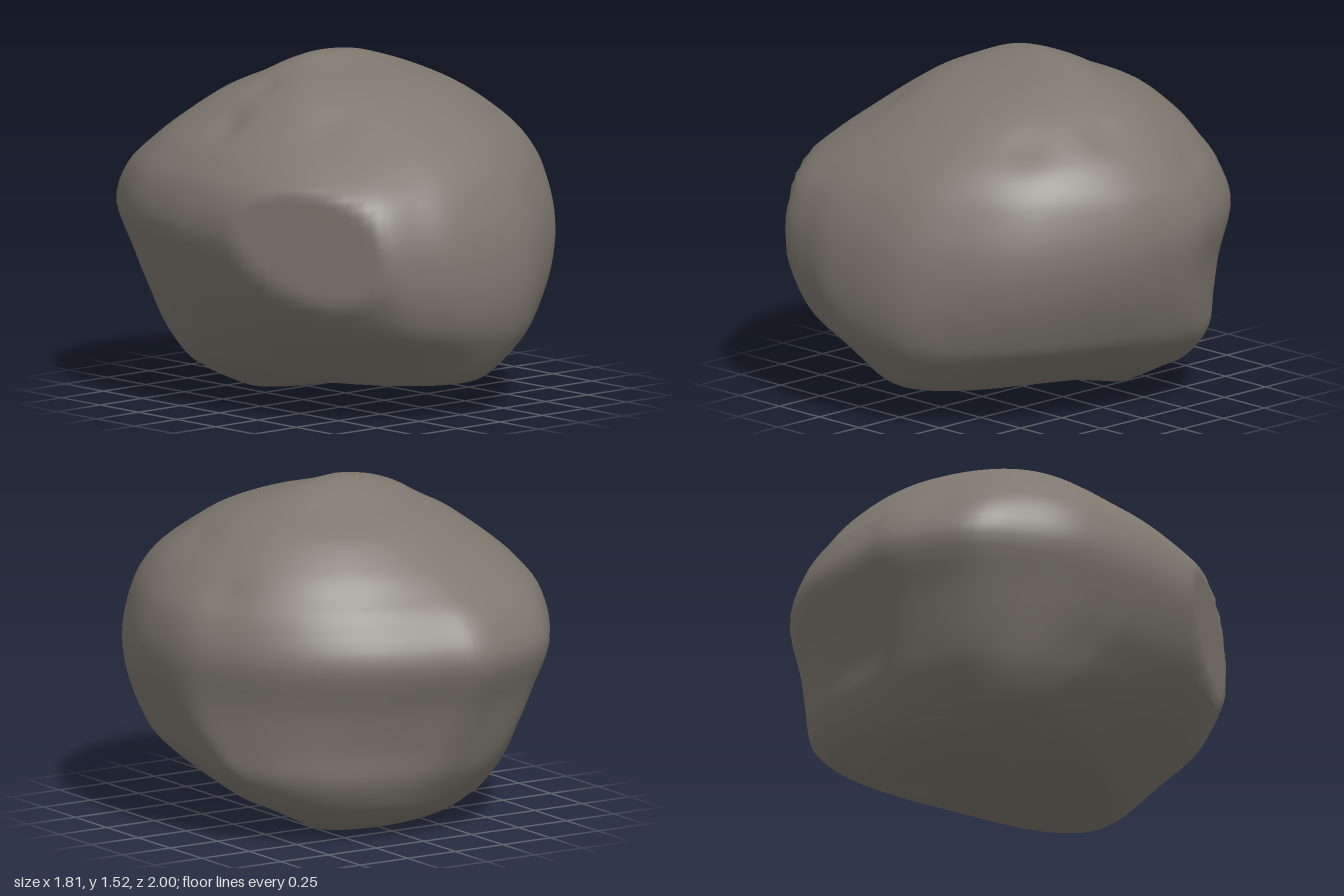
import * as THREE from 'three';

const AROUND = 120, RINGS = 72;
const { lerp, smoothstep } = THREE.MathUtils;

// Plan outline of the widest part (x, z) before chipping, running from +x towards -z
const PLAN = [
  [0.9, 0], [0.89, -0.2], [0.82, -0.37], [0.7, -0.57], [0.53, -0.74], [0.3, -0.87], [0, -0.96],
  [-0.15, -0.995], [-0.3, -0.97], [-0.55, -0.87], [-0.7, -0.68], [-0.82, -0.46], [-0.88, -0.2],
  [-0.9, 0], [-0.9, 0.27], [-0.86, 0.5], [-0.77, 0.71], [-0.6, 0.89], [-0.4, 0.96],
  [-0.18, 1], [0.18, 0.97], [0.45, 0.83], [0.64, 0.67], [0.77, 0.47], [0.87, 0.22],
];

// Extents at each height: y, x min, x max, z min, z max
const LEVELS = [
  [0.0, 0.0, 0.14, -0.37, -0.29], [0.015, -0.22, 0.28, -0.45, -0.2], [0.06, -0.34, 0.38, -0.58, 0.05],
  [0.105, -0.43, 0.47, -0.65, 0.4], [0.125, -0.46, 0.51, -0.67, 0.68], [0.17, -0.53, 0.6, -0.71, 0.8],
  [0.29, -0.63, 0.73, -0.79, 0.9], [0.42, -0.72, 0.8, -0.84, 0.97], [0.6, -0.83, 0.86, -0.91, 1.0],
  [0.82, -0.9, 0.9, -1.0, 0.98], [1.0, -0.87, 0.87, -0.92, 0.91], [1.12, -0.79, 0.8, -0.79, 0.82],
  [1.22, -0.68, 0.71, -0.68, 0.7], [1.34, -0.52, 0.56, -0.53, 0.5], [1.42, -0.39, 0.4, -0.35, 0.3],
  [1.47, -0.27, 0.27, -0.25, 0.11], [1.505, -0.16, 0.14, -0.16, 0.0], [1.517, -0.06, 0.03, -0.11, -0.03],
];

// Weathered dents (negative depth is a swelling): x, y, z, radius, depth
const DENTS = [
  [-0.62, 1.25, -0.08, 0.09, 0.03], [-0.4, 1.4, -0.07, 0.08, 0.02], [0.6, 1.28, 0.1, 0.1, 0.015],
  [0.47, 1.25, 0.45, 0.12, 0.015], [-0.42, 1.28, 0.38, 0.1, 0.015], [0.74, 1.12, -0.3, 0.09, 0.012],
  [-0.55, 1.15, -0.5, 0.28, -0.04], [-0.5, 0.38, -0.55, 0.28, -0.02],
];

// Upright plane that chips a flat face off the front corner: outward x, z and distance
const CHIP = [-0.898, 0.441, 0.915];

// Uniform splines through the extents, so both share the same height
function makeSpline(points, closed) {
  return new THREE.CatmullRomCurve3(points.map((p) => new THREE.Vector3(...p)), closed, 'catmullrom', 0.5);
}

function boulderGeometry() {
  const plan = makeSpline(PLAN.map(([x, z]) => [x, 0, z]), true);
  const xSpan = makeSpline(LEVELS.map(([y, a, b]) => [a, y, b]), false);
  const zSpan = makeSpline(LEVELS.map(([y, , , a, b]) => [a, y, b]), false);
  const outline = Array.from({ length: AROUND }, (_, j) => plan.getPoint(j / AROUND));
  const heart = new THREE.Vector3(0, 0.75, 0);
  const positions = [], index = [];

  for (let i = 0; i <= RINGS; i++) {
    const xs = xSpan.getPoint(i / RINGS), zs = zSpan.getPoint(i / RINGS);
    const y = xs.y;
    // The uneven outline fades to an oval near the top and the base
    const uneven = smoothstep(y, 0.1, 0.45) * (1 - smoothstep(y, 0.95, 1.25));
    // Low rings are widest over the foot at the back and narrow towards the front
    const pivot = lerp(-0.33, (zs.x + zs.z) / 2, smoothstep(y, 0.08, 0.8));
    const low = 1 - smoothstep(y, 0.12, 0.38);
    for (const p of outline) {
      const angle = Math.atan2(p.z, p.x / 0.9);
      const w = lerp(Math.sin(angle), p.z, uneven);
      const side = lerp(Math.cos(angle), p.x / 0.9, uneven);
      const u = side * (1 - (side > 0 ? 0.2 : 0.06) * low * smoothstep(w, 0, 0.7));
      const v = new THREE.Vector3((xs.x + xs.z) / 2 + (u * (xs.z - xs.x)) / 2, y,
        pivot + w * (w < 0 ? pivot - zs.x : zs.z - pivot));
      let push = 0;
      for (const [dx, dy, dz, r, depth] of DENTS) {
        const d2 = (v.x - dx) ** 2 + (v.y - dy) ** 2 + (v.z - dz) ** 2;
        push += depth * Math.exp(-d2 / (r * r));
      }
      v.addScaledVector(heart.clone().sub(v).normalize(), push);
      const excess = Math.max(0, v.x * CHIP[0] + v.z * CHIP[1] - CHIP[2]);
      positions.push(v.x - CHIP[0] * excess, v.y, v.z - CHIP[1] * excess);
    }
  }

  for (let i = 0; i < RINGS; i++) {
    for (let j = 0; j < AROUND; j++) {
      const k = (j + 1) % AROUND;
      const a = i * AROUND + j, b = i * AROUND + k;
      index.push(a, b, b + AROUND, a, b + AROUND, a + AROUND);
    }
  }

  // Close the underside and the summit
  const base = positions.length / 3, top = base + 1, last = RINGS * AROUND;
  positions.push(0.07, 0, -0.33, -0.02, 1.52, -0.07);
  for (let j = 0; j < AROUND; j++) {
    const k = (j + 1) % AROUND;
    index.push(base, k, j, top, last + j, last + k);
  }

  const geometry = new THREE.BufferGeometry();
  geometry.setAttribute('position', new THREE.Float32BufferAttribute(positions, 3));
  geometry.setIndex(index);
  geometry.computeVertexNormals();
  return geometry;
}

export function createModel() {
  const stone = new THREE.MeshStandardMaterial({ color: 0x7d776e });
  stone.name = 'greyStone';
  const boulder = new THREE.Mesh(boulderGeometry(), stone);
  boulder.name = 'boulder';
  const group = new THREE.Group();
  group.name = 'rock';
  group.add(boulder);
  return group;
}
